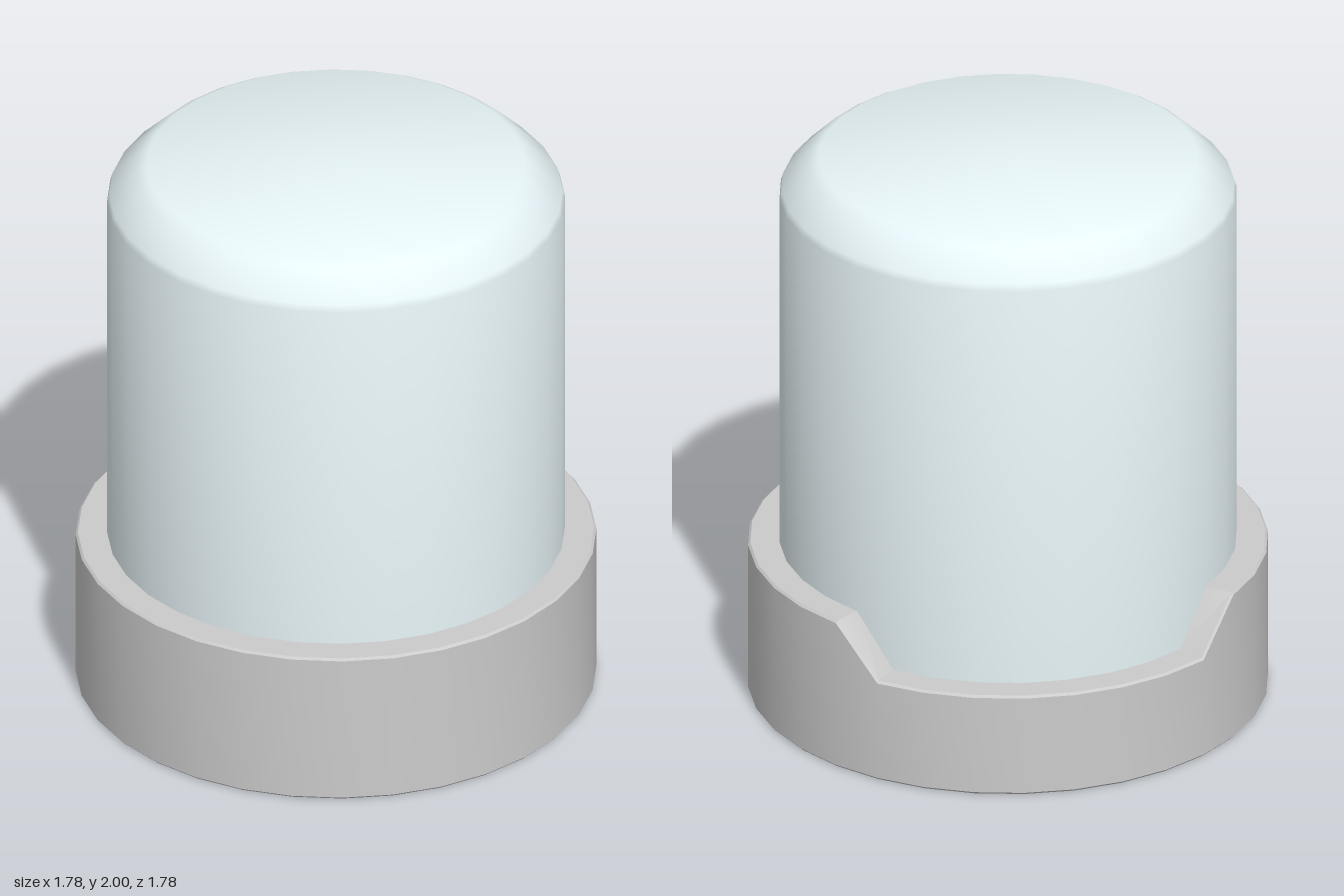
import * as THREE from 'three';
import { toCreasedNormals } from 'three/addons/utils/BufferGeometryUtils.js';

const SIDES = 32;

// Turned solid whose flats (not corners) face the x and z axes
function turned(profile) {
  const points = profile.map(([r, y]) => new THREE.Vector2(r, y));
  return new THREE.LatheGeometry(points, SIDES, Math.PI / SIDES);
}

function part(name, geometry, color) {
  const material = new THREE.MeshStandardMaterial({ color });
  const mesh = new THREE.Mesh(toCreasedNormals(geometry, 0.6), material);
  mesh.name = name;
  return mesh;
}

export function createModel() {
  const group = new THREE.Group();
  group.name = 'cappedCylinder';

  // Collar: shallow recess underneath, outer wall, socket for the body
  const collar = turned([
    [0, 0.045], [0.69, 0.045], [0.69, 0], [0.885, 0], [0.893, 0.008],
    [0.893, 0.547], [0.885, 0.555], [0.778, 0.555], [0.778, 0.28], [0, 0.28],
  ]);

  // Lower the rim over one quarter; the segments at its ends become ramps
  const pos = collar.attributes.position;
  for (let i = 0; i < pos.count; i++) {
    if (pos.getY(i) > 0.5 && pos.getX(i) > 0 && pos.getZ(i) < 0) {
      pos.setY(i, pos.getY(i) - 0.18);
    }
  }
  group.add(part('collar', collar, 0xcccccc));

  // Body with a softened chamfer round the top
  const body = turned([
    [0, 0.3], [0.785, 0.3], [0.785, 1.865], [0.777, 1.89],
    [0.685, 1.98], [0.65, 2], [0, 2],
  ]);
  group.add(part('body', body, 0xe7f4f7));

  return group;
}
